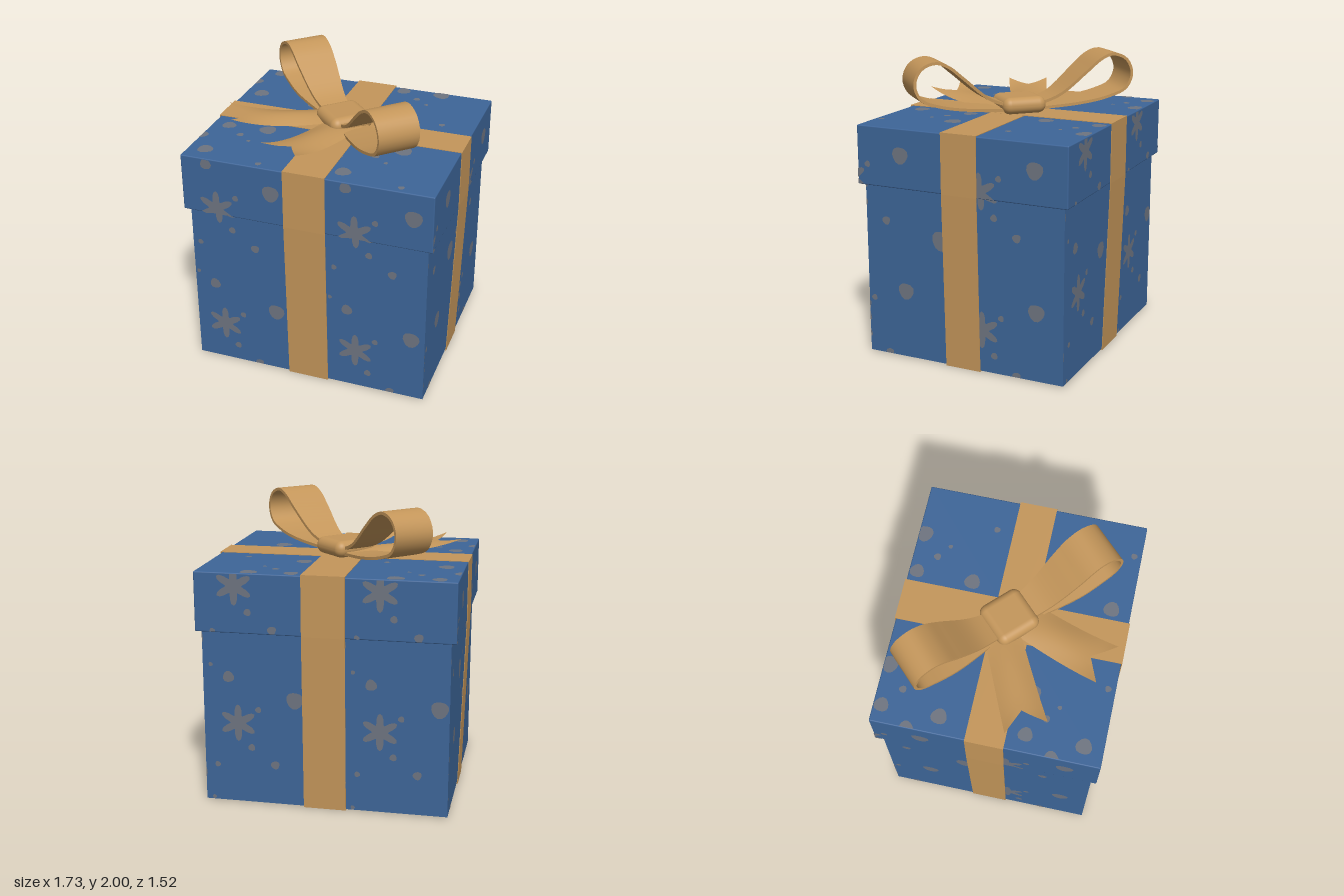
import * as THREE from 'three';
import { toCreasedNormals } from 'three/addons/utils/BufferGeometryUtils.js';
import { RoundedBoxGeometry } from 'three/addons/geometries/RoundedBoxGeometry.js';

const paper = new THREE.MeshStandardMaterial({ name: 'bluePaper', color: 0x3d6598 });
const gold = new THREE.MeshStandardMaterial({ name: 'goldRibbon', color: 0xc4965a, side: THREE.DoubleSide });
const grey = new THREE.MeshStandardMaterial({ name: 'greyPrint', color: 0x6e7480 });

function add(parent, name, geometry, material) {
  const mesh = new THREE.Mesh(geometry, material);
  mesh.name = name;
  parent.add(mesh);
  return mesh;
}

function build(positions, index) {
  const g = new THREE.BufferGeometry();
  g.setAttribute('position', new THREE.Float32BufferAttribute(positions, 3));
  g.setIndex(index);
  g.computeVertexNormals();
  return g;
}

// Repeating print: [u, v, radius, isSnowflake]
const PERIOD_U = 0.96, PERIOD_V = 0.945;
const SIDE_PRINT = [
  [0.34, 0.3, 0.13, true], [0.73, 0.48, 0.06], [0.28, 0.62, 0.04], [0.59, 0.96, 0.03],
  [0.43, 0.13, 0.025], [0.045, 0.87, 0.07], [0.16, 0.7, 0.015], [0.48, 0.4, 0.022],
  [0.6, 0.02, 0.022], [0.19, 0.94, 0.02],
];
const TOP_PRINT = [
  [0.22, 0.32, 0.055], [0.5, -0.23, 0.06], [0.22, 0.7, 0.05], [0.35, 0.59, 0.025],
  [0.63, 0.24, 0.022], [0.44, 0.52, 0.015], [0.1, 0.51, 0.05],
];

// Flat print shapes, trimmed to the face rectangle
function printGeometry(items, [u0, u1, v0, v1], du, dv, place) {
  const pos = [], index = [];
  const put = (u, v) => pos.push(...place(
    THREE.MathUtils.clamp(u, u0, u1), THREE.MathUtils.clamp(v, v0, v1)));
  for (const [u, v, r, flake] of items) {
    for (let i = -2; i <= 2; i++) for (let j = -2; j <= 2; j++) {
      const cu = u + du + i * PERIOD_U, cv = v + dv + j * PERIOD_V;
      if (cu + r < u0 || cu - r > u1 || cv + r < v0 || cv - r > v1) continue;
      const base = pos.length / 3, n = flake ? 48 : 14;
      put(cu, cv);
      for (let k = 0; k < n; k++) {
        const a = (k / n) * Math.PI * 2;
        const rr = r * (flake ? 0.7 - 0.3 * Math.cos(6 * a) : 0.96 + 0.07 * Math.sin(3 * a + u * 9));
        put(cu + rr * Math.cos(a), cv + rr * Math.sin(a));
        index.push(base, base + 1 + k, base + 1 + ((k + 1) % n));
      }
    }
  }
  return build(pos, index);
}

// Print on the four walls of one box
function printWalls(parent, name, hx, hz, v0, v1) {
  const x = hx + 0.002, z = hz + 0.002;
  const walls = [
    ['Front', hx, 0, 0, (u, v) => [u, v, z]],
    ['Right', hz, -0.2, 0, (u, v) => [x, v, -u]],
    ['Back', hx, 0.03, 0.27, (u, v) => [-u, v, -z]],
    ['Left', hz, -0.2, 0, (u, v) => [-x, v, u]],
  ];
  for (const [side, half, du, dv, place] of walls)
    add(parent, name + side, printGeometry(SIDE_PRINT, [-half, half, v0, v1], du, dv, place), grey);
}

// Thin band wrapped around the whole box, wider at the lid
function bandGeometry(lid, foot, top, width) {
  const outline = (t) => [
    [foot - t, t], [lid - t, 1.2], [lid - t, top - t],
    [-lid + t, top - t], [-lid + t, 1.2], [-foot + t, t],
  ].map(([x, y]) => new THREE.Vector2(x, y));
  const shape = new THREE.Shape(outline(0));
  shape.holes.push(new THREE.Path(outline(0.004)));
  return new THREE.ExtrudeGeometry(shape, { depth: width, bevelEnabled: false })
    .translate(0, 0, -width / 2);
}

// Bow loop: a flat ribbon swept along a curve
function loopGeometry() {
  const curve = new THREE.CatmullRomCurve3([
    [0.05, 1.65], [0.25, 1.72], [0.45, 1.88], [0.55, 1.96], [0.64, 1.99], [0.74, 1.95],
    [0.783, 1.85], [0.74, 1.75], [0.62, 1.7], [0.4, 1.66], [0.05, 1.63],
  ].map(([x, y]) => new THREE.Vector3(x, y, 0)));
  const n = 56, t = 0.01, pos = [], index = [];
  for (let i = 0; i <= n; i++) {
    const p = curve.getPointAt(i / n), d = curve.getTangentAt(i / n);
    const w = 0.095 + 0.05 * THREE.MathUtils.smoothstep(p.x, 0.05, 0.55);
    for (const [a, b] of [[1, -1], [1, 1], [-1, 1], [-1, -1]])
      pos.push(p.x - d.y * t * a, p.y + d.x * t * a, w * b);
    if (i === n) break;
    for (let k = 0; k < 4; k++) {
      const a = i * 4 + k, b = i * 4 + ((k + 1) % 4);
      index.push(a, b, a + 4, b, b + 4, a + 4);
    }
  }
  return toCreasedNormals(build(pos, index), 0.8);
}

// Ribbon tail between two edges [x0, z0, x1, z1], with a notched end
function tailGeometry(a, b, notch) {
  const rows = 18, cols = 12, pos = [], index = [];
  const mix = THREE.MathUtils.lerp;
  for (let i = 0; i <= rows; i++) for (let j = 0; j <= cols; j++) {
    const s = j / cols;
    const t = (i / rows) * (1 - notch * (1 - Math.abs(2 * s - 1)));
    const x = mix(mix(a[0], a[2], t), mix(b[0], b[2], t), s);
    const z = mix(mix(a[1], a[3], t), mix(b[1], b[3], t), s);
    const y = 1.622 + 0.03 * (1 - t) ** 2 + 0.09 * t ** 3
      + 0.035 * Math.sin(Math.PI * s) * Math.sin(Math.PI * Math.min(1, t * 1.1));
    pos.push(x, y, z);
    if (i < rows && j < cols) {
      const k = i * (cols + 1) + j, m = k + cols + 1;
      index.push(k, k + 1, m, k + 1, m + 1, m);
    }
  }
  return build(pos, index);
}

export function createModel() {
  const model = new THREE.Group();
  model.name = 'giftBox';

  // Box and lid
  add(model, 'boxBody', new THREE.BoxGeometry(1.65, 1.202, 1.44), paper).position.y = 0.609;
  add(model, 'lid', new RoundedBoxGeometry(1.72, 0.402, 1.51, 2, 0.008), paper).position.y = 1.401;

  // Printed pattern
  const print = new THREE.Group();
  print.name = 'paperPrint';
  model.add(print);
  printWalls(print, 'bodyPrint', 0.825, 0.72, 0.01, 1.198);
  printWalls(print, 'lidPrint', 0.86, 0.755, 1.205, 1.595);
  add(print, 'topPrint', printGeometry(TOP_PRINT, [-0.855, 0.855, -0.75, 0.75], 0, 0,
    (u, v) => [u, 1.604, -v]), grey);
  add(print, 'bottomPrint', printGeometry(SIDE_PRINT, [-0.82, 0.82, -0.715, 0.715], 0, 0,
    (u, v) => [u, 0.006, v]), grey);

  // Crossing ribbon bands
  add(model, 'sideBand', bandGeometry(0.867, 0.832, 1.608, 0.255), gold);
  add(model, 'frontBand', bandGeometry(0.762, 0.727, 1.609, 0.288), gold).rotation.y = Math.PI / 2;

  // Bow
  const bow = new THREE.Group();
  bow.name = 'bow';
  model.add(bow);
  const loop = loopGeometry();
  [['frontLoop', -Math.PI / 4], ['backLoop', Math.PI * 0.75]].forEach(([name, angle]) => {
    const mesh = add(bow, name, loop, gold);
    mesh.rotation.y = angle;
    mesh.position.z = -0.025;
  });
  const knot = add(bow, 'knot', new RoundedBoxGeometry(0.31, 0.115, 0.31, 5, 0.055), gold);
  knot.position.set(0, 1.665, -0.02);
  knot.rotation.y = Math.PI / 4;
  add(bow, 'sideTail', tailGeometry([-0.05, -0.2, -0.79, 0.12], [0, 0.03, -0.66, 0.37], 0.16), gold);
  add(bow, 'frontTail', tailGeometry([-0.08, -0.02, -0.34, 0.62], [0.16, 0.06, -0.07, 0.715], 0.18), gold);

  return model;
}
